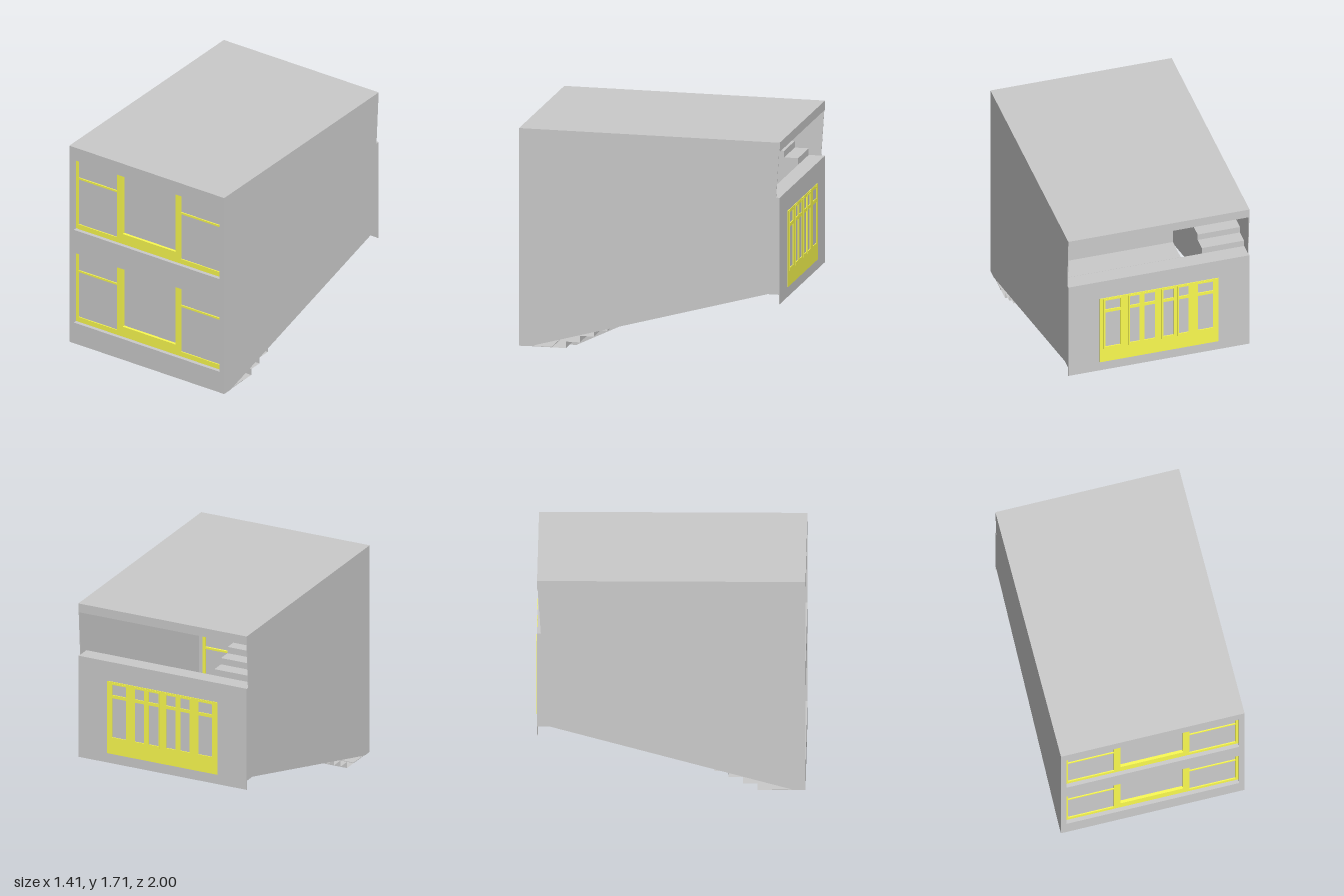
import * as THREE from 'three';

const grey = new THREE.MeshStandardMaterial({ color: 0xcccccc });
const greyTwoSided = new THREE.MeshStandardMaterial({ color: 0xcccccc, side: THREE.DoubleSide });
const yellow = new THREE.MeshStandardMaterial({ color: 0xfcfc50 });

const rectPoints = ([x0, x1, y0, y1]) =>
  [[x0, y0], [x1, y0], [x1, y1], [x0, y1]].map(p => new THREE.Vector2(...p));

export function createModel() {
  const model = new THREE.Group();

  const add = (name, geometry, material = grey, parent = model) => {
    const mesh = new THREE.Mesh(geometry, material);
    mesh.name = name;
    parent.add(mesh);
    return mesh;
  };

  // Box given by its limits
  const box = (name, [x0, x1, y0, y1, z0, z1], material, parent) =>
    add(name, new THREE.BoxGeometry(x1 - x0, y1 - y0, z1 - z0), material, parent)
      .position.set((x0 + x1) / 2, (y0 + y1) / 2, (z0 + z1) / 2);

  // Upright panel with rectangular openings, from z0 to z1
  const panel = (name, outer, holes, z0, z1, material, parent) => {
    const shape = new THREE.Shape(rectPoints(outer));
    for (const h of holes) shape.holes.push(new THREE.Path(rectPoints(h)));
    const geo = new THREE.ExtrudeGeometry(shape, { depth: z1 - z0, bevelEnabled: false });
    add(name, geo.translate(0, 0, z0), material, parent);
  };

  // Plate cut from a [z, y] outline, from x0 to x1
  const sidePlate = (name, points, x0, x1, material, parent) => {
    const shape = new THREE.Shape(points.map(p => new THREE.Vector2(...p)));
    const geo = new THREE.ExtrudeGeometry(shape, { depth: x1 - x0, bevelEnabled: false });
    add(name, geo.rotateY(-Math.PI / 2).translate(x1, 0, 0), material, parent);
  };

  // Thin folded sheet along a [z, y] path
  const ribbon = (name, path, x0, x1) => {
    const pos = [];
    for (let i = 0; i < path.length - 1; i++) {
      const [z0, y0] = path[i], [z1, y1] = path[i + 1];
      pos.push(x0, y0, z0, x1, y0, z0, x1, y1, z1, x0, y0, z0, x1, y1, z1, x0, y1, z1);
    }
    const geo = new THREE.BufferGeometry();
    geo.setAttribute('position', new THREE.Float32BufferAttribute(pos, 3));
    geo.computeVertexNormals();
    add(name, geo, greyTwoSided);
  };

  // Zigzag path: a riser then a tread for each step, run signed along z
  const stepPath = (z, y, run, rise, count) => {
    const path = [[z, y]];
    for (let i = 1; i <= count; i++) {
      path.push([z + (i - 1) * run, y + i * rise], [z + i * run, y + i * rise]);
    }
    return path;
  };

  // Side walls with sloping foot and notched rear edge
  const wall = [[1, 0.05], [1, 1.71], [-0.993, 1.71], [-0.965, 1.29], [-0.993, 1.29],
    [-0.993, 0.55], [-0.9, 0.55], [0.92, 0.05]];
  sidePlate('leftWall', wall, 0.698, 0.703);
  sidePlate('rightWall', wall, -0.703, -0.698);

  // Roof, rear wall and rear floor
  box('roof', [-0.7, 0.7, 1.64, 1.71, -0.993, 1]);
  box('rearWall', [-0.703, 0.703, 0.478, 1.29, -0.993, -0.988]);
  box('rearLedge', [-0.698, 0.698, 1.27, 1.29, -0.988, -0.87]);
  box('rearFloor', [-0.698, 0.698, 0.55, 0.57, -0.988, -0.4]);
  box('frontFloor', [-0.698, 0.698, 0.05, 0.055, 0.75, 0.96]);

  // Front wall with two storeys of windows
  const storeys = [0.225, 1.01];
  panel('frontWall', [-0.703, 0.703, 0.05, 1.71],
    storeys.map(y => [-0.662, 0.662, y, y + 0.592]), 0.95, 1);
  for (const y of storeys) {
    const win = new THREE.Group();
    win.name = 'frontWindow';
    model.add(win);
    const centre = [-0.24, 0.24, y + 0.085, y + 0.588];
    const sides = [];
    for (const [a, b] of [[-0.64, -0.29], [0.29, 0.64]]) {
      sides.push([a, b, y + 0.04, y + 0.42], [a, b, y + 0.435, y + 0.575]);
    }
    panel('frontWindowFrame', [-0.662, 0.662, y, y + 0.592], [centre, ...sides],
      0.94, 0.97, yellow, win);
    box('centrePane', [...centre, 0.944, 0.948], grey, win);
    for (const p of sides) box('sidePane', [...p, 0.955, 0.962], grey, win);
    // Sloping head above the centre pane
    sidePlate('centreHead', [[0.948, y + 0.574], [0.97, y + 0.588], [0.948, y + 0.588]],
      -0.24, 0.24, yellow, win);
  }

  // Rear window with six sashes
  const rear = new THREE.Group();
  rear.name = 'rearWindow';
  model.add(rear);
  const bays = [[0.02, 0.125], [0.14, 0.24], [0.29, 0.43]];
  const columns = [...bays, ...bays.map(([a, b]) => [-b, -a])];
  panel('rearWindowFrame', [-0.46, 0.46, 0.555, 1.135],
    columns.map(([a, b]) => [a, b, 0.68, 1.12]), -0.998, -0.99, yellow, rear);
  for (const [a, b] of columns) {
    panel('rearSash', [a, b, 0.67, 1.125],
      [[a + 0.012, b - 0.012, 0.69, 1.005], [a + 0.012, b - 0.012, 1.03, 1.113]],
      -1, -0.99, yellow, rear);
  }

  // Side flights rising to the rear floor
  const sideSteps = [[0.75, 0.05], ...stepPath(0.643, 0.05, -0.1067, 0.05, 10)];
  ribbon('leftFlight', sideSteps, 0.372, 0.698);
  ribbon('rightFlight', sideSteps, -0.698, -0.372);

  // Stringers beside the open well, with bottom step and landing
  const outline = [...stepPath(0.75, 0, -0.1067, 0.05, 9), [-0.21, 0.5], [-0.4, 0.5],
    [-0.4, 0.41], [-0.2, 0.41], [0.02, 0.3], [0.643, 0]];
  sidePlate('leftStringer', outline, 0.36, 0.372);
  sidePlate('rightStringer', outline, -0.372, -0.36);
  box('bottomStep', [-0.372, 0.372, 0, 0.05, 0.643, 0.75]);
  box('landing', [-0.372, 0.372, 0.41, 0.5, -0.4, -0.2]);

  // Upper flight seen through the rear opening
  ribbon('upperFlight', stepPath(-0.87, 1.29, 0.1067, 0.05, 7), -0.698, -0.37);

  return model;
}
